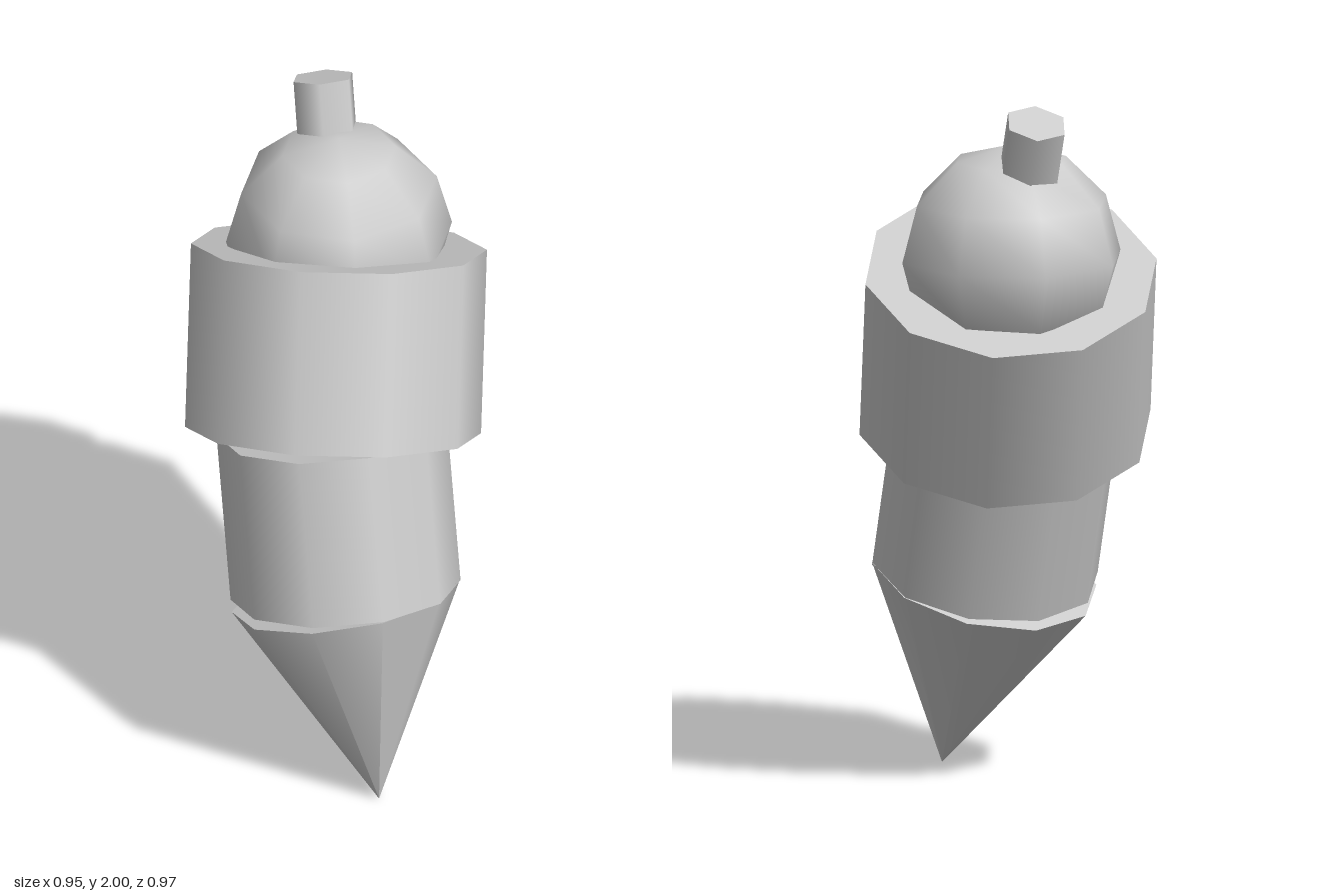
import * as THREE from 'three';

export function createModel() {
  const group = new THREE.Group();
  const grey = new THREE.MeshStandardMaterial({ color: 0xcccccc });
  grey.name = 'light grey';

  // Round part spanning two axis points; ref points from the axis to the first corner
  function tilted(name, bottom, top, rTop, rBottom, sides, ref) {
    const b = new THREE.Vector3(...bottom);
    const t = new THREE.Vector3(...top);
    const up = t.clone().sub(b);
    const length = up.length();
    up.normalize();
    const side = new THREE.Vector3().crossVectors(up, new THREE.Vector3(...ref)).normalize();
    const corner = new THREE.Vector3().crossVectors(side, up);
    const mesh = new THREE.Mesh(new THREE.CylinderGeometry(rTop, rBottom, length, sides), grey);
    mesh.name = name;
    mesh.quaternion.setFromRotationMatrix(new THREE.Matrix4().makeBasis(side, up, corner));
    mesh.position.copy(b).add(t).multiplyScalar(0.5);
    group.add(mesh);
  }

  // Pointed tip, lower body and wide collar, each leaning a little differently
  tilted('tip', [0.34, 0, 0.265], [0.16, 0.572, 0.175], 0.324, 0, 10, [0.31, 0.095, -0.02]);
  tilted('lowerBody', [0.158, 0.588, 0.175], [0.045, 1.053, 0.087], 0.323, 0.323, 10, [0.315, 0.072, -0.02]);
  tilted('collar', [0.045, 1.035, 0.08], [-0.07, 1.51, -0.105], 0.415, 0.415, 10, [0.405, 0.081, -0.035]);

  // Domed head, upright
  const head = new THREE.Mesh(new THREE.SphereGeometry(0.32, 8, 6), grey);
  head.name = 'head';
  head.position.set(-0.075, 1.555, -0.112);
  group.add(head);

  // Small six-sided stem
  tilted('stem', [-0.147, 1.757, -0.161], [-0.21, 1.967, -0.22], 0.09, 0.09, 6, [-0.087, -0.025, 0.005]);

  return group;
}
